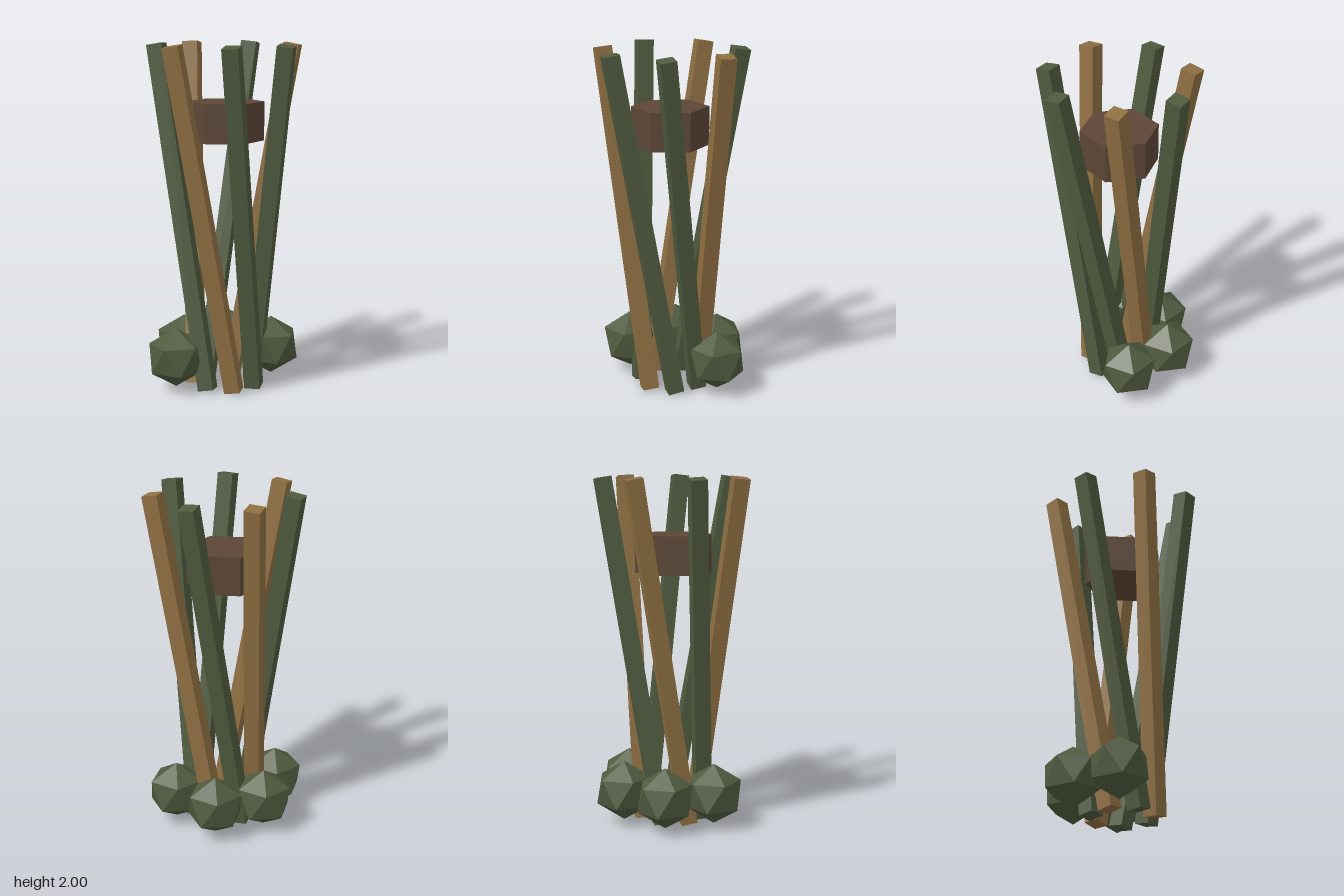
import * as THREE from 'three';

const paint = (name, color) => {
  const m = new THREE.MeshStandardMaterial({ color, flatShading: true });
  m.name = name;
  return m;
};

export function createModel() {
  const model = new THREE.Group();
  model.name = 'twistedPostBundle';
  const green = paint('mossGreen', 0x4f5a3e);
  const tan = paint('tanWood', 0x8f6f42);
  const brown = paint('darkBrown', 0x5c4636);

  const centerZ = 0.016;
  const up = new THREE.Vector3(0, 1, 0);
  const onRing = (radius, angle, y) =>
    new THREE.Vector3(radius * Math.cos(angle), y, centerZ + radius * Math.sin(angle));

  const add = (name, geometry, material, position) => {
    const mesh = new THREE.Mesh(geometry, material);
    mesh.name = name;
    mesh.position.copy(position);
    model.add(mesh);
    return mesh;
  };

  // Seven square posts, flaring upward and twisted around the axis
  const postColours = [tan, green, green, tan, green, tan, green];
  const twist = THREE.MathUtils.degToRad(62);
  postColours.forEach((material, i) => {
    const angle = THREE.MathUtils.degToRad(12.2) + (i * Math.PI * 2) / 7;
    const top = onRing(0.4, angle, 1.989);
    const foot = onRing(0.178, angle - twist, 0.011);
    const axis = top.clone().sub(foot);
    const post = add(
      'post' + (i + 1),
      new THREE.CylinderGeometry(0.065, 0.065, axis.length(), 4),
      material,
      top.clone().add(foot).multiplyScalar(0.5)
    );
    post.quaternion.setFromUnitVectors(up, axis.normalize());
  });

  // Hexagonal block held between the posts
  add('hexBlock', new THREE.CylinderGeometry(0.22, 0.22, 0.222, 6), brown,
    new THREE.Vector3(-0.002, 1.557, centerZ));

  // Four faceted shrubs around the back, each standing on a corner
  const shrub = new THREE.IcosahedronGeometry(0.175, 0);
  shrub.rotateZ(-Math.atan(2 / (1 + Math.sqrt(5))));
  for (let i = 0; i < 4; i++) {
    add('shrub' + (i + 1), shrub, green, onRing(0.31, -i, 0.195));
  }

  return model;
}
